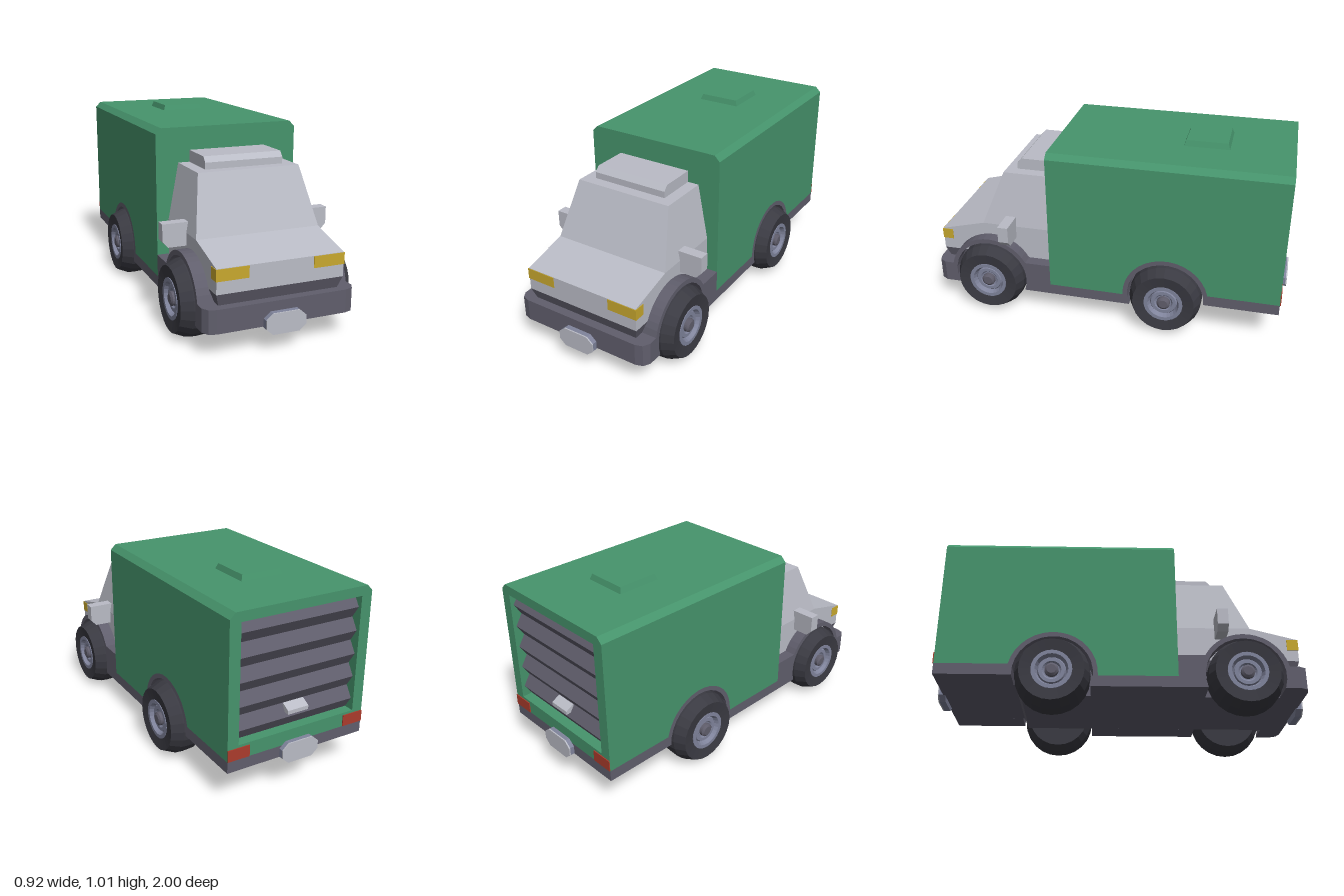
import * as THREE from 'three';

const mat = (name, color) => {
  const m = new THREE.MeshStandardMaterial({ color });
  m.name = name;
  return m;
};

export function createModel() {
  const green = mat('green', 0x46946c);
  const grey = mat('light grey', 0xbabcc6);
  const dark = mat('dark grey', 0x605e6c);
  const rubber = mat('tyre black', 0x3a3a42);
  const slate = mat('slate', 0x80849c);
  const amber = mat('amber', 0xc8a82e);
  const red = mat('red', 0xac3c2c);

  const truck = new THREE.Group();
  truck.name = 'boxTruck';

  const add = (name, geo, material, parent = truck) => {
    const g = geo.index ? geo.toNonIndexed() : geo;
    g.computeVertexNormals();
    const mesh = new THREE.Mesh(g, material);
    mesh.name = name;
    parent.add(mesh);
    return mesh;
  };
  const shapeOf = (pts) => new THREE.Shape(pts.map(([a, b]) => new THREE.Vector2(a, b)));
  // side profile of (z, y) points, extruded between x0 and x1
  const sideExtrude = (pts, x0, x1) =>
    new THREE.ExtrudeGeometry(shapeOf(pts), { depth: x1 - x0, bevelEnabled: false })
      .rotateY(-Math.PI / 2).translate(x1, 0, 0);
  // front profile of (x, y) points, extruded between z0 and z1
  const frontExtrude = (pts, z0, z1) =>
    new THREE.ExtrudeGeometry(shapeOf(pts), { depth: z1 - z0, bevelEnabled: false })
      .translate(0, 0, z0);
  const box = (x0, x1, y0, y1, z0, z1) =>
    new THREE.BoxGeometry(x1 - x0, y1 - y0, z1 - z0)
      .translate((x0 + x1) / 2, (y0 + y1) / 2, (z0 + z1) / 2);
  // moves vertices by a rule
  const reshape = (geo, rule) => {
    const p = geo.attributes.position;
    for (let i = 0; i < p.count; i++) {
      const v = new THREE.Vector3().fromBufferAttribute(p, i);
      rule(v);
      p.setXYZ(i, v.x, v.y, v.z);
    }
    return geo;
  };
  const FRONT = 0.64, REAR = -0.36, AXLE = 0.2, ARCH = 0.235, WELL = 0.21;
  const arc = (cz, r, a0, a1, n = 16) => Array.from({ length: n + 1 }, (_, i) => {
    const a = a0 + (a1 - a0) * i / n;
    return [cz + r * Math.cos(a), AXLE + r * Math.sin(a)];
  });
  const PI = Math.PI;

  // chassis: solid middle, outer thirds with wheel wells
  const chassisTop = [
    [0.87, 0.13], [0.87, 0.25],
    ...arc(FRONT, ARCH, 0.214, PI - 0.487),
    [0.29, 0.31], [0.29, 0.19],
    ...arc(REAR, ARCH, -0.043, PI - 0.214),
    [-0.97, 0.25], [-0.97, 0.19],
  ];
  add('chassisCentre', sideExtrude([...chassisTop, [-0.56, 0.19], [-0.53, 0.13]], -0.26, 0.26), dark);
  const wells = [
    ...chassisTop,
    ...arc(REAR, WELL, PI + 0.048, -0.34),
    ...arc(FRONT, WELL, PI + 0.34, -0.34),
  ];
  add('leftFenders', sideExtrude(wells, 0.26, 0.4), dark);
  add('rightFenders', sideExtrude(wells, -0.4, -0.26), dark);

  // front bumper with cut corners
  const bumper = [[-0.4, -0.86], [0.4, -0.86], [0.4, -0.92], [0.38, -0.955], [0.34, -0.967],
    [-0.34, -0.967], [-0.38, -0.955], [-0.4, -0.92]];
  add('frontBumper', new THREE.ExtrudeGeometry(shapeOf(bumper), { depth: 0.12, bevelEnabled: false })
    .rotateX(-PI / 2).translate(0, 0.13, 0), dark);

  // chin under the hood, narrower at the bottom
  add('chin', reshape(box(-0.335, 0.335, 0.25, 0.31, 0.3, 0.94), (v) => {
    if (v.y < 0.28) { v.x *= 0.945; if (v.z > 0.5) v.z -= 0.02; }
  }), dark);

  // cab
  add('cabBody', sideExtrude([[0.94, 0.31], [0.94, 0.435], [0.69, 0.5], [0.29, 0.5], [0.29, 0.31]],
    -0.335, 0.335), grey);
  add('cabTop', reshape(sideExtrude([[0.69, 0.5], [0.57, 0.8], [0.29, 0.8], [0.29, 0.5]], -0.335, 0.335),
    (v) => { if (v.y > 0.7) v.x = Math.sign(v.x) * 0.278; }), grey);
  add('roofDeflector', sideExtrude([[0.51, 0.8], [0.51, 0.835], [0.485, 0.863], [0.29, 0.863], [0.29, 0.8]],
    -0.215, 0.215), grey);

  // cargo box: side panels follow the rear wheel arch
  const panel = [[0.29, 0.19], ...arc(REAR, ARCH, -0.043, PI - 0.214), [-0.97, 0.25],
    [-0.97, 0.955], [0.29, 0.955]];
  add('cargoLeftPanel', sideExtrude(panel, 0.34, 0.4), green);
  add('cargoRightPanel', sideExtrude(panel, -0.4, -0.34), green);
  add('cargoRoof', frontExtrude([[-0.34, 0.935], [0.34, 0.935], [0.34, 0.955], [0.4, 0.955], [0.37, 0.985],
    [-0.37, 0.985], [-0.4, 0.955], [-0.34, 0.955]], -0.97, 0.29), green);
  add('cargoFrontWall', box(-0.34, 0.34, 0.19, 0.935, 0.26, 0.29), green);
  add('cargoRearSill', box(-0.34, 0.34, 0.25, 0.325, -0.97, -0.9), green);
  add('roofHatch', reshape(box(-0.123, 0.123, 0.98, 1.015, -0.633, -0.387), (v) => {
    if (v.y > 1) { v.x *= 0.9; v.z = -0.51 + (v.z + 0.51) * 0.9; }
  }), green);

  // zigzag roller shutter and its handle
  const slats = [[-0.88, 0.325]];
  const count = 5, pitch = 0.61 / count;
  for (let i = 0; i < count; i++) {
    slats.push([-0.915, 0.325 + i * pitch], [-0.953, 0.325 + (i + 0.5) * pitch]);
  }
  slats.push([-0.915, 0.935], [-0.88, 0.935]);
  add('rollerShutter', sideExtrude(slats, -0.34, 0.34), dark);
  add('shutterHandle', sideExtrude([[-0.92, 0.41], [-0.965, 0.405], [-0.965, 0.425], [-0.92, 0.45]],
    -0.06, 0.06), grey);

  // octagonal plates at both ends
  const plate = (y) => [[-0.07, y - 0.053], [0.07, y - 0.053], [0.105, y - 0.022], [0.105, y + 0.022],
    [0.07, y + 0.053], [-0.07, y + 0.053], [-0.105, y + 0.022], [-0.105, y - 0.022]];
  add('frontPlateBracket', frontExtrude(plate(0.148), 0.96, 0.993), slate);
  add('frontPlate', frontExtrude(plate(0.148), 0.993, 1), grey);
  add('rearPlateBracket', frontExtrude(plate(0.215), -0.993, -0.96), slate);
  add('rearPlate', frontExtrude(plate(0.215), -1, -0.993), grey);

  // wheel profiles: (radius, distance outward from the centre line)
  const lathe = (pts) => new THREE.LatheGeometry(pts.map(([r, x]) => new THREE.Vector2(r, x)), 24)
    .rotateZ(-PI / 2);
  const tyreGeo = lathe([[0, 0.27], [0.168, 0.27], [0.195, 0.31], [0.198, 0.36], [0.195, 0.4],
    [0.168, 0.46], [0.105, 0.452], [0.1, 0.425], [0, 0.425]]);
  const rimGeo = lathe([[0.106, 0.44], [0.106, 0.456], [0.086, 0.456], [0.074, 0.432], [0.068, 0.44],
    [0.05, 0.44], [0.042, 0.432], [0, 0.432]]);
  const hubGeo = lathe([[0.036, 0.425], [0.036, 0.45], [0.024, 0.458], [0, 0.458]]);

  for (const side of [1, -1]) {
    const label = side > 0 ? 'left' : 'right';
    for (const [end, z] of [['Front', FRONT], ['Rear', REAR]]) {
      const wheel = new THREE.Group();
      wheel.name = `${label}${end}Wheel`;
      wheel.position.set(0, AXLE, z);
      wheel.rotation.y = side > 0 ? 0 : PI;
      add('tyre', tyreGeo, rubber, wheel);
      add('rim', rimGeo, slate, wheel);
      add('hub', hubGeo, dark, wheel);
      truck.add(wheel);
    }
    // mirror with a cut lower corner
    const mirror = [[0.31, 0.433], [0.43, 0.433], [0.46, 0.465], [0.46, 0.555], [0.31, 0.555]];
    add(`${label}Mirror`, frontExtrude(mirror.map(([x, y]) => [x * side, y]), 0.498, 0.556), grey);
    // lamps
    const span = (a, b) => (side > 0 ? [a, b] : [-b, -a]);
    add(`${label}Headlamp`, box(...span(0.17, 0.338), 0.374, 0.433, 0.882, 0.943), amber);
    add(`${label}TailLamp`, box(...span(0.28, 0.4), 0.252, 0.312, -0.975, -0.968), red);
  }
  return truck;
}
